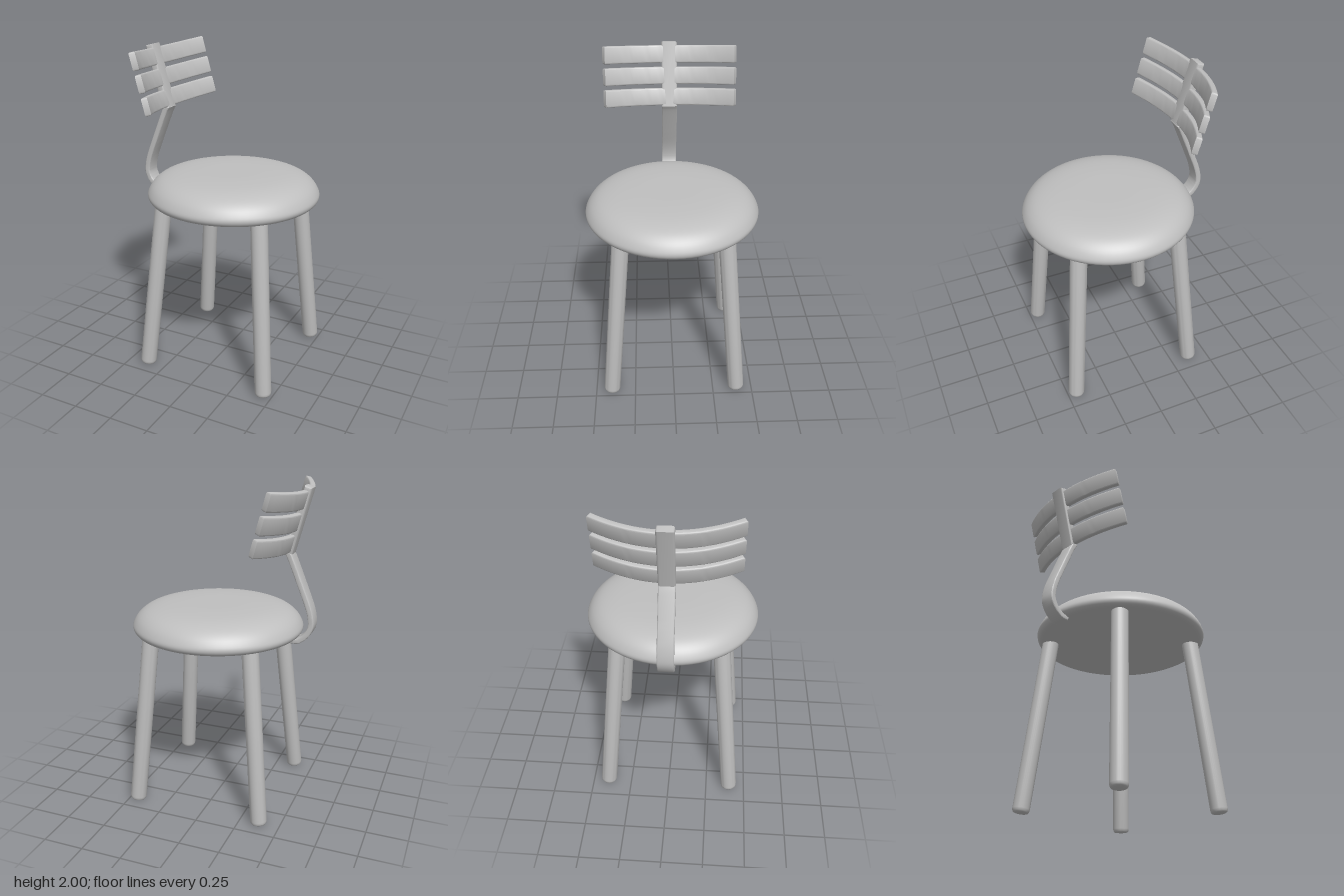
import * as THREE from 'three';
import { toCreasedNormals } from 'three/addons/utils/BufferGeometryUtils.js';

const grey = new THREE.MeshStandardMaterial({ color: 0xbfbfbf });
grey.name = 'plain grey';

function part(name, geometry) {
  const mesh = new THREE.Mesh(geometry, grey);
  mesh.name = name;
  return mesh;
}

// Bent strip: a centreline in XY thickened sideways, then extruded along Z with rounded edges
function strip(curve, steps, thickness, width, bevel) {
  const half = thickness / 2 - bevel;
  const a = [], b = [];
  for (let i = 0; i <= steps; i++) {
    const p = curve.getPoint(i / steps), t = curve.getTangent(i / steps);
    a.push(new THREE.Vector2(p.x + t.y * half, p.y - t.x * half));
    b.unshift(new THREE.Vector2(p.x - t.y * half, p.y + t.x * half));
  }
  const depth = width - 2 * bevel;
  const geometry = new THREE.ExtrudeGeometry(new THREE.Shape([...a, ...b]), {
    depth, steps: 1, bevelEnabled: true, bevelSize: bevel, bevelThickness: bevel, bevelSegments: 3,
  });
  geometry.translate(0, 0, -depth / 2);
  return toCreasedNormals(geometry, 0.7);
}

const v2 = (x, y) => new THREE.Vector2(x, y);

export function createModel() {
  const model = new THREE.Group();
  model.name = 'chair';

  // Round cushion seat: flat underside, soft rim, gently domed top
  const rim = new THREE.SplineCurve([
    v2(0.485, 1.081), v2(0.512, 1.09), v2(0.528, 1.112), v2(0.525, 1.14), v2(0.495, 1.185),
    v2(0.44, 1.222), v2(0.35, 1.245), v2(0.22, 1.255), v2(0.1, 1.257), v2(0, 1.257),
  ]).getPoints(36);
  const seat = part('seat', new THREE.LatheGeometry(rim, 72));
  const underside = part('seatUnderside', new THREE.CircleGeometry(0.485, 72).rotateX(Math.PI / 2));
  underside.position.y = 1.081;
  const seatGroup = new THREE.Group();
  seatGroup.name = 'seatGroup';
  seatGroup.position.x = 0.043;
  seatGroup.add(seat, underside);
  model.add(seatGroup);

  // Four splayed round legs with softened feet
  const up = new THREE.Vector3(0, 1, 0);
  for (const [side, footX, topX] of [['right', -0.374, -0.274], ['left', 0.445, 0.358]]) {
    for (const [end, s] of [['Front', 1], ['Back', -1]]) {
      const foot = new THREE.Vector3(footX, 0.005, 0.4 * s);
      const top = new THREE.Vector3(topX, 1.1, 0.31 * s);
      const length = foot.distanceTo(top);
      const profile = [v2(0, 0), v2(0.035, 0), v2(0.044, 0.004), v2(0.049, 0.012), v2(0.051, 0.025),
        v2(0.051, length)];
      const leg = part(side + end + 'Leg', toCreasedNormals(new THREE.LatheGeometry(profile, 28), 0.8));
      leg.position.copy(foot);
      leg.quaternion.setFromUnitVectors(up, top.sub(foot).normalize());
      model.add(leg);
    }
  }

  // Bent strap rising from under the seat edge to the backrest
  const strapPath = new THREE.SplineCurve([
    v2(-0.445, 1.077), v2(-0.482, 1.08), v2(-0.525, 1.112), v2(-0.553, 1.16), v2(-0.557, 1.21),
    v2(-0.54, 1.285), v2(-0.495, 1.4), v2(-0.425, 1.57), v2(-0.402, 1.615),
  ]);
  model.add(part('backStrap', strip(strapPath, 48, 0.034, 0.096, 0.007)));

  // Leaning upright that joins the three slats
  const tilt = 0.27, c = Math.cos(tilt), s = Math.sin(tilt);
  const spine = new THREE.LineCurve(v2(-0.411, 1.618), v2(-0.51, 1.978));
  model.add(part('backSpine', strip(spine, 1, 0.047, 0.098, 0.012)));

  // Curved slats, each bending forward and up along the tilted plane
  const bend = new THREE.QuadraticBezierCurve(v2(0.105, -0.393), v2(-0.105, 0), v2(0.105, 0.393));
  const frame = new THREE.Matrix4().makeBasis(
    new THREE.Vector3(c, s, 0), new THREE.Vector3(0, 0, 1), new THREE.Vector3(s, -c, 0));
  const slatGeometry = strip(bend, 28, 0.036, 0.106, 0.009);
  for (let i = 0; i < 3; i++) {
    const slat = part('backSlat' + (i + 1), slatGeometry);
    slat.quaternion.setFromRotationMatrix(frame);
    slat.position.set(-0.489 + 0.035 * i, 1.918 - 0.126 * i, 0);
    model.add(slat);
  }
  return model;
}
